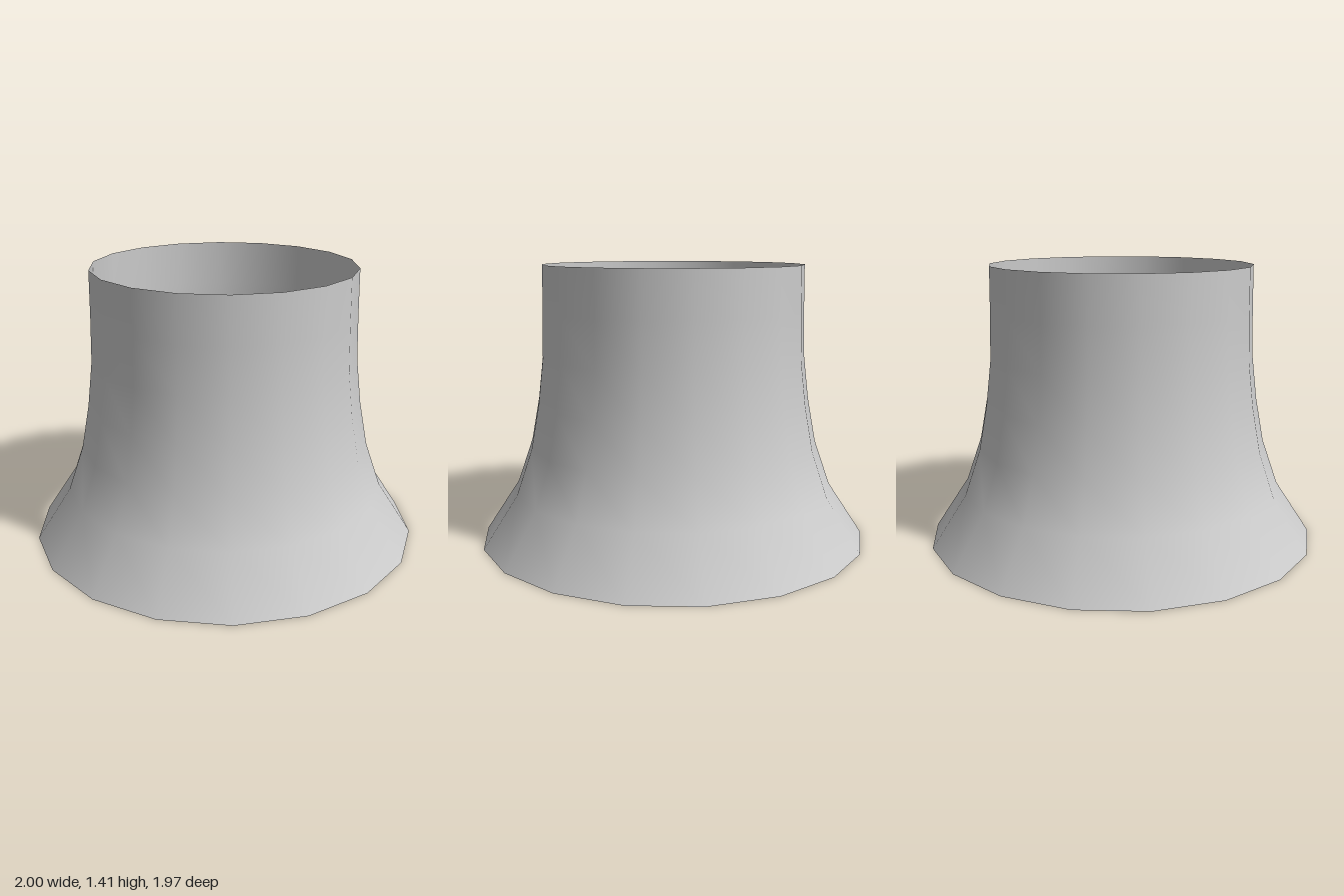
import * as THREE from 'three';

export function createModel() {
  const group = new THREE.Group();

  // Flared open sleeve: radius and height from the wide foot to the rim
  const profile = [
    [1, 0], [0.825, 0.265], [0.745, 0.495], [0.703, 0.72], [0.676, 0.95], [0.67, 1.18], [0.667, 1.41],
  ].map(([r, y]) => new THREE.Vector2(r, y));

  // 18 sides, with corners lying on the x axis
  const sleeve = new THREE.Mesh(
    new THREE.LatheGeometry(profile, 18, Math.PI / 2),
    new THREE.MeshStandardMaterial({ color: 0xcccccc, side: THREE.DoubleSide }),
  );
  sleeve.name = 'flaredSleeve';
  group.add(sleeve);

  return group;
}
